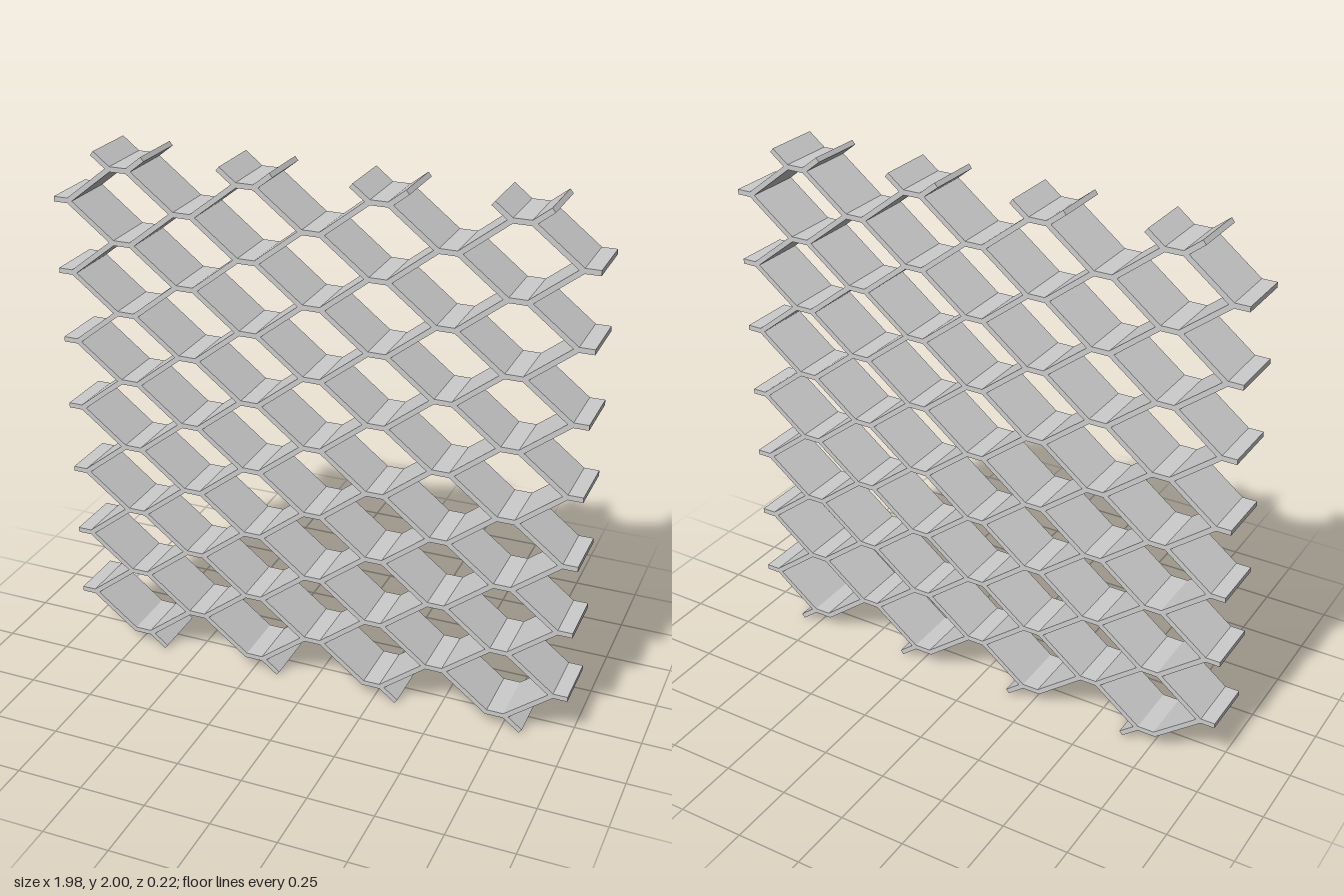
import * as THREE from 'three';

const PX = 0.484, PY = 0.2692;      // mesh pitch
const DEPTH = 0.218, H = 0.0095;    // strip depth and half thickness
const E = 0.035;                    // half length of a joint bar
const RUN = PX / 2 - 2 * E, RISE = PY / 2;
const A = Math.atan2(RISE, RUN);
const MX = E - H * Math.tan(A / 2); // mitred corner between bar and strip
const CX = E + H / Math.sin(A);     // point of the fork between two strips
const EX = E + H * Math.tan(A / 2); // outside corner of an elbow

const prism = (points) => {
  const shape = new THREE.Shape(points.map(([x, y]) => new THREE.Vector2(x, y)));
  return new THREE.ExtrudeGeometry(shape, { depth: DEPTH, bevelEnabled: false }).translate(0, 0, -DEPTH / 2);
};

// Strip from a joint to the next one, sx and sy give its direction
const strip = (sx, sy) => {
  const qx = PX / 2, qy = RISE;
  return prism([[MX, H], [CX, 0], [qx - MX, qy - H], [qx - CX, qy]].map(([x, y]) => [x * sx, y * sy]));
};

// Cut-off strip at the top and bottom edge
const stub = (sx, sy) => {
  const y = 0.05, x = E + y / Math.tan(A);
  const nx = -H * Math.sin(A), ny = H * Math.cos(A);
  return prism([[MX, H], [CX, 0], [x - nx, y - ny], [x + nx, y + ny]].map(([a, b]) => [a * sx, b * sy]));
};

// Joint bar, with its left and right outlines listed counter-clockwise
const fork = [[MX, -H], [CX, 0], [MX, H]];
const turn = (pts) => pts.map(([x, y]) => [-x, -y]);
const cut = 0.99 - 2 * PX;
const flat = [[cut, -H], [cut, H]];
const elbow = [[-MX, H], [-CX, 0], [-EX, -H]];

export function createModel() {
  const group = new THREE.Group();
  group.name = 'expandedMesh';
  const material = new THREE.MeshStandardMaterial({ color: 0xcccccc, flatShading: true });
  const add = (name, geometry, x, y) => {
    const mesh = new THREE.Mesh(geometry, material);
    mesh.name = name;
    mesh.position.set(x, y, 0);
    group.add(mesh);
  };

  const bar = prism([...fork, ...turn(fork)]);
  const rightEnd = prism([...flat, ...turn(fork)]);
  const leftEnd = prism([...fork, ...turn(flat)]);
  const bottomBar = prism([...fork, ...elbow]);
  const strips = [[1, 1], [1, -1], [-1, 1], [-1, -1]].map(([sx, sy]) => ({ sx, geometry: strip(sx, sy) }));

  // Main joints and the strips leaving them
  for (let i = -2; i <= 2; i++) {
    for (let k = -3; k <= 3; k++) {
      const x = i * PX, y = 1 + k * PY;
      add('jointBar', i === 2 ? rightEnd : i === -2 ? leftEnd : bar, x, y);
      for (const s of strips) if (Math.abs(i + s.sx * 0.5) < 2) add('strip', s.geometry, x, y);
    }
  }

  // Staggered joints between them
  const topStubs = [stub(1, 1), stub(-1, 1)];
  const bottomStub = stub(1, -1);
  for (let i = -1.5; i <= 1.5; i++) {
    for (let k = -3.5; k <= 3.5; k++) {
      add('jointBar', k === -3.5 ? bottomBar : bar, i * PX, 1 + k * PY);
    }
    for (const g of topStubs) add('topStub', g, i * PX, 1 + 3.5 * PY);
    add('bottomStub', bottomStub, i * PX, 1 - 3.5 * PY);
  }
  return group;
}
